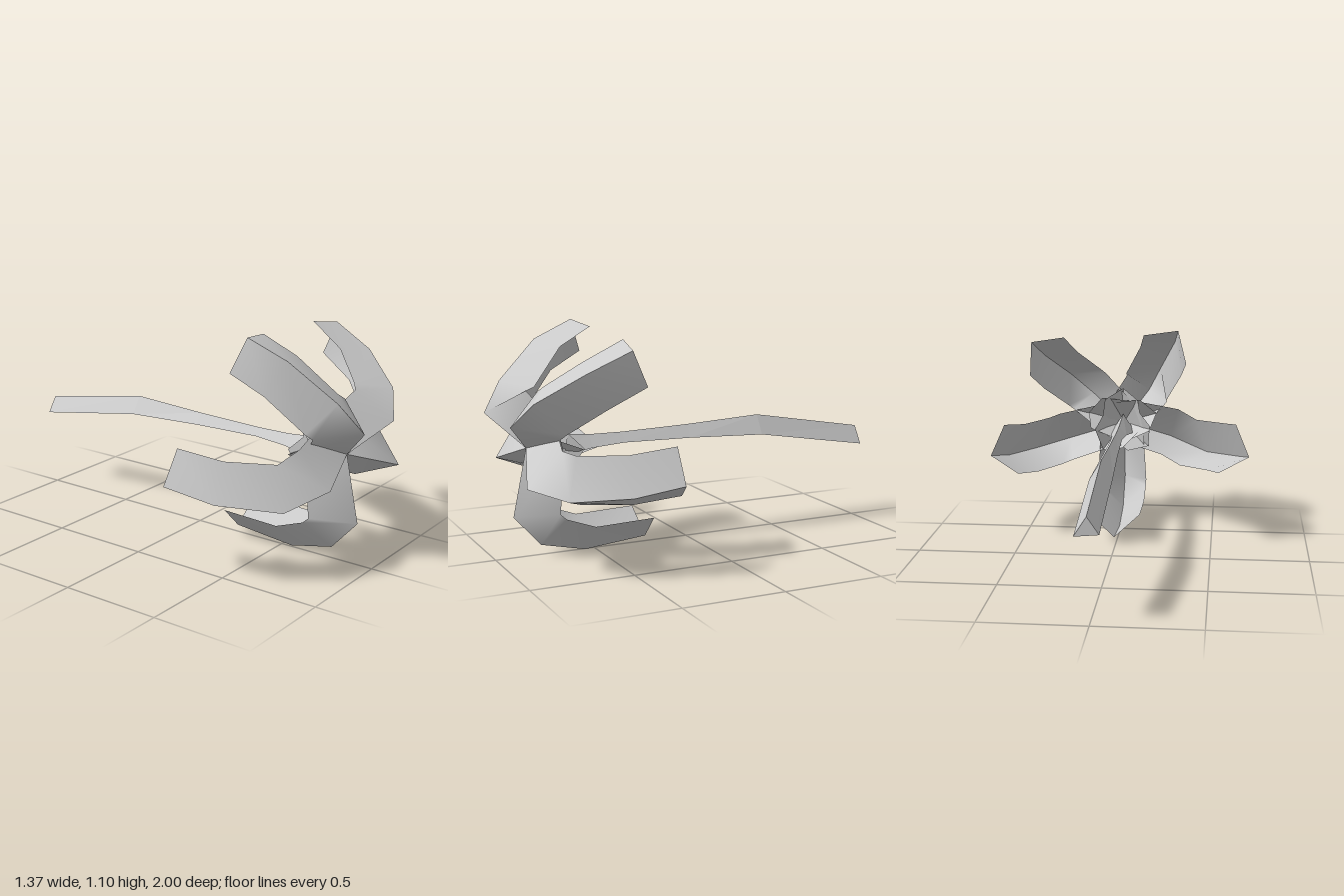
import * as THREE from 'three';

const V = (x, y, z) => new THREE.Vector3(x, y, z);
const material = new THREE.MeshStandardMaterial({ color: 0xcccccc, side: THREE.DoubleSide });
const flatMaterial = new THREE.MeshStandardMaterial({ color: 0xcccccc, flatShading: true, side: THREE.DoubleSide });

const heart = V(0.01, 0.53, 0.84);  // where all petal ridges cross
const inside = V(0.01, 0.55, 0.4);  // the hollow the petals curl around

// Smooth strip between two lines of equally many points
function strip(a, b) {
  const position = [], index = [];
  a.forEach((p, i) => {
    position.push(...p.toArray(), ...b[i].toArray());
    if (i) {
      const k = 2 * i;
      index.push(k - 2, k - 1, k, k, k - 1, k + 1);
    }
  });
  const g = new THREE.BufferGeometry();
  g.setAttribute('position', new THREE.Float32BufferAttribute(position, 3));
  g.setIndex(index);
  g.computeVertexNormals();
  return g;
}

// Folded petal: a ridge line with one sloping blade on either side
function petal(name, points) {
  const outer = points.map(p => V(...p));
  const start = outer[0].clone().sub(heart).normalize().multiplyScalar(-0.21).add(heart);
  start.z -= 0.03;
  const ridge = [start, heart, ...outer];
  const side = outer[1].clone().sub(heart).cross(outer[3].clone().sub(outer[1])).normalize();
  const depth = [0.13, 0.15, 0.19, 0.17, 0.145, 0.125];
  const width = [0.09, 0.12, 0.135, 0.135, 0.135, 0.135];

  const edge = sign => ridge.map((p, i) => {
    const before = ridge[Math.max(i - 1, 0)], after = ridge[Math.min(i + 1, 5)];
    const inward = side.clone().cross(after.clone().sub(before)).normalize();
    if (inward.dot(inside.clone().sub(p)) < 0) inward.negate();
    return p.clone().addScaledVector(inward, depth[i]).addScaledVector(side, sign * width[i]);
  });

  const group = new THREE.Group();
  group.name = name;
  for (const sign of [-1, 1]) {
    const e = edge(sign);
    const blade = new THREE.Mesh(sign > 0 ? strip(ridge, e) : strip(e, ridge), material);
    blade.name = 'petalBlade';
    group.add(blade);
  }
  return group;
}

// Three-sided stem from cross-sections: z, left x, right x, base y, top y
function stem() {
  const sections = [
    [-1, -0.045, 0.067, 0.4, 0.49],
    [-0.4, -0.045, 0.067, 0.5, 0.595],
    [0, -0.03, 0.052, 0.515, 0.577],
    [0.35, -0.02, 0.043, 0.52, 0.568],
    [0.52, -0.03, 0.05, 0.51, 0.57],
    [0.76, -0.06, 0.08, 0.48, 0.59],
  ];
  const position = [], index = [];
  sections.forEach(([z, x0, x1, y0, y1], i) => {
    position.push(x0, y0 + 0.01, z, x1, y0, z, 0.01, y1, z);
    if (!i) return;
    for (let j = 0; j < 3; j++) {
      const a = 3 * (i - 1) + j, b = 3 * (i - 1) + (j + 1) % 3;
      index.push(a, b, a + 3, b, b + 3, a + 3);
    }
  });
  const n = 3 * (sections.length - 1);
  index.push(0, 2, 1, n, n + 1, n + 2);
  const g = new THREE.BufferGeometry();
  g.setAttribute('position', new THREE.Float32BufferAttribute(position, 3));
  g.setIndex(index);
  g.computeVertexNormals();
  const mesh = new THREE.Mesh(g, flatMaterial);
  mesh.name = 'stem';
  return mesh;
}

export function createModel() {
  const model = new THREE.Group();
  model.name = 'flower';
  // Ridge points of each petal, from the first bend out to the tip
  const petals = {
    bottomPetal: [[0.01, 0.2, 0.91], [0.01, 0.05, 0.775], [0.01, 0, 0.55], [0.01, 0.03, 0.23]],
    lowerLeftPetal: [[0.33, 0.41, 0.945], [0.51, 0.375, 0.81], [0.62, 0.39, 0.55], [0.68, 0.435, 0.325]],
    upperLeftPetal: [[0.2, 0.67, 0.975], [0.32, 0.79, 0.9], [0.44, 0.925, 0.7], [0.48, 1.025, 0.49]],
    upperRightPetal: [[-0.12, 0.69, 1], [-0.19, 0.83, 0.9], [-0.28, 1.01, 0.69], [-0.305, 1.095, 0.49]],
    lowerRightPetal: [[-0.25, 0.44, 0.91], [-0.46, 0.375, 0.8], [-0.635, 0.41, 0.55], [-0.69, 0.46, 0.31]],
  };
  for (const [name, points] of Object.entries(petals)) model.add(petal(name, points));
  model.add(stem());
  return model;
}
